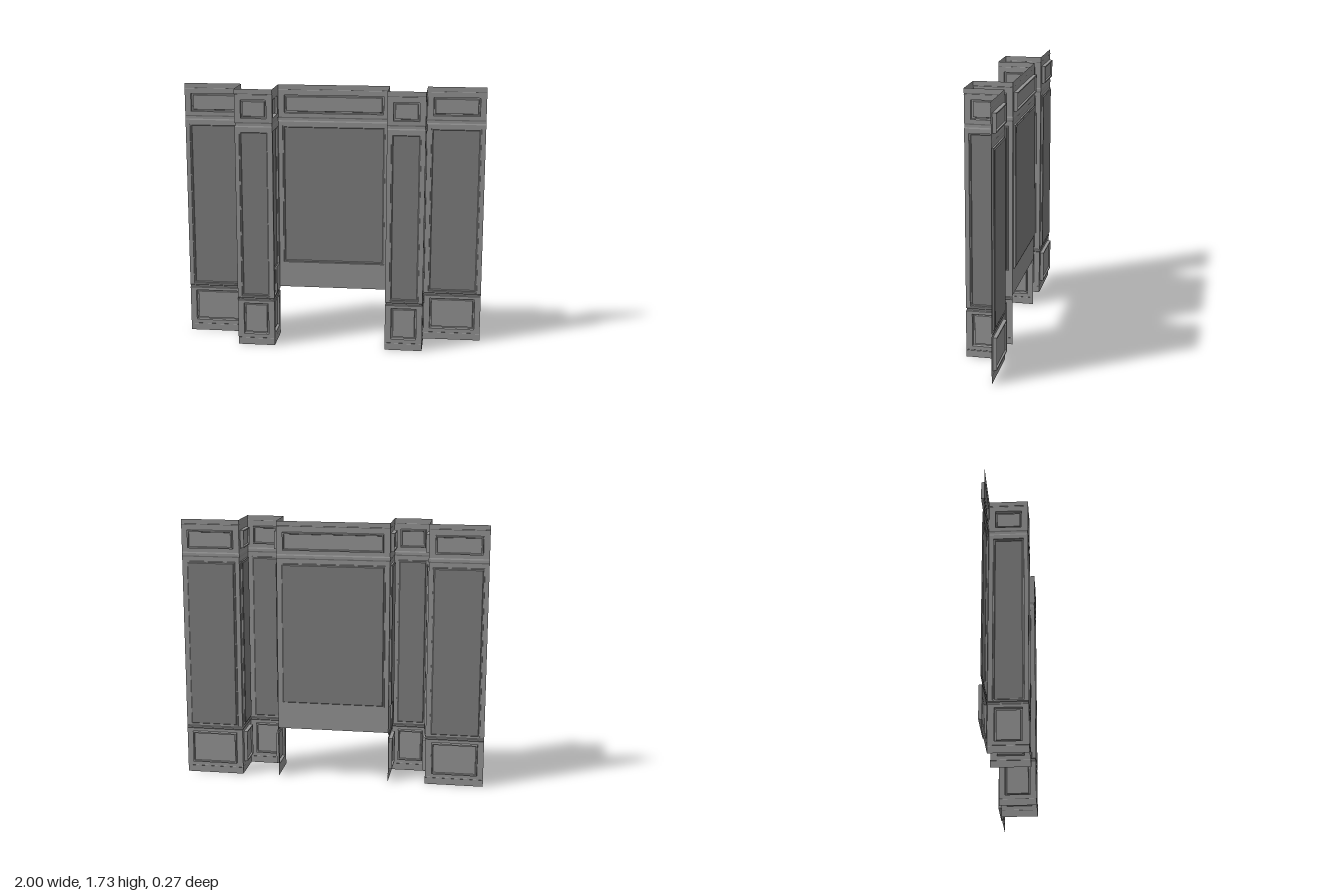
import * as THREE from 'three';

const paint = (color) => new THREE.MeshStandardMaterial({
  color, flatShading: true, side: THREE.DoubleSide,
});
const frameMaterial = paint(0x999999);
const fieldMaterial = paint(0x828282);

// Plan of the folded wall, from -x to +x, as [x, z]
const BACK = -0.114, FRONT = 0.135, OUT = 0.617, IN = 0.37;
const PLAN = [
  [-1, BACK], [-OUT, BACK], [-OUT, FRONT], [-IN, FRONT], [-IN, BACK],
  [IN, BACK], [IN, FRONT], [OUT, FRONT], [OUT, BACK], [1, BACK],
];
const CENTRE = 4;          // index of the middle wall
const CENTRE_BOTTOM = 0.34;

// Small grooves that run along the wall: [bottom, top, depth]
const GROOVES = [[0.044, 0.05, 0.001], [0.31, 0.33, 0.005], [1.483, 1.515, 0.003], [1.694, 1.7, 0.001]];
const TOP = 1.73;

// Moulding steps: [inset, depth]
const TALL_STEPS = [[0, 0], [0.001, 0.009], [0.008, 0.009], [0.012, 0.014]];
const SMALL_STEPS = [[0, 0], [0.002, 0.023], [0.01, 0.023], [0.013, 0.012]];

// Shift a right-angled polyline to its left side
function offset(points, d, closed) {
  const n = points.length;
  const normal = (a, b) => {
    const dx = b[0] - a[0], dy = b[1] - a[1], l = Math.hypot(dx, dy);
    return [-dy / l, dx / l];
  };
  return points.map((p, i) => {
    const q = [...p];
    const edges = [];
    if (closed || i > 0) edges.push(normal(points[(i + n - 1) % n], p));
    if (closed || i < n - 1) edges.push(normal(p, points[(i + 1) % n]));
    for (const e of edges) { q[0] += e[0] * d; q[1] += e[1] * d; }
    return q;
  });
}

// Skin between successive rows of [x, y, z] points
function loft(rows, closed) {
  const n = rows[0].length, index = [];
  for (let k = 0; k < rows.length - 1; k++) {
    for (let i = 0; i < (closed ? n : n - 1); i++) {
      const a = k * n + i, b = k * n + (i + 1) % n;
      index.push(a, b, b + n, a, b + n, a + n);
    }
  }
  const g = new THREE.BufferGeometry();
  g.setAttribute('position', new THREE.Float32BufferAttribute(rows.flat(2), 3));
  g.setIndex(index);
  g.computeVertexNormals();
  return g;
}

function add(parent, geometry, name, material = frameMaterial) {
  const mesh = new THREE.Mesh(geometry, material);
  mesh.name = name;
  parent.add(mesh);
}

const vectors = (pts) => pts.map(([x, y]) => new THREE.Vector2(x, y));
const rect = (x0, y0, x1, y1) => [[x0, y0], [x1, y0], [x1, y1], [x0, y1]];

// Stepped moulding and sunken field inside an outline
function addPanel(parent, { name, outline, steps, material }) {
  const rows = steps.map(([inset, depth]) =>
    offset(outline, inset, true).map(([x, y]) => [x, y, -depth]));
  add(parent, loft(rows, true), name + 'Moulding');
  const [inset, depth] = steps[steps.length - 1];
  const field = new THREE.ShapeGeometry(new THREE.Shape(vectors(offset(outline, inset, true))));
  add(parent, field.translate(0, 0, -depth), name + 'Field', material);
}

// One straight wall, built flat with x along it and z outwards
function buildWall(index) {
  const [a, b] = [PLAN[index], PLAN[index + 1]];
  const length = Math.hypot(b[0] - a[0], b[1] - a[1]);
  const wall = new THREE.Group();
  const centre = index === CENTRE;

  const panels = [];
  const m = 0.04;
  if (!centre) {
    panels.push({ name: 'lowerPanel', outline: rect(m, 0.075, length - m, 0.29), steps: SMALL_STEPS });
  }
  panels.push({ name: 'upperPanel', outline: rect(m, 1.54, length - m, 1.66), steps: SMALL_STEPS });

  // Tall panel; beside the middle wall its lower back corner is notched
  const l = 0.028, r = length - 0.028, y0 = centre ? 0.515 : 0.34, y1 = 1.455, notch = 0.51, cut = 0.125;
  let tall = rect(l, y0, r, y1);
  if (index === CENTRE - 1) tall = [[l, y0], [cut, y0], [cut, notch], [r, notch], [r, y1], [l, y1]];
  if (index === CENTRE + 1) {
    tall = [[length - cut, y0], [r, y0], [r, y1], [l, y1], [l, notch], [length - cut, notch]];
  }
  panels.push({ name: 'tallPanel', outline: tall, steps: TALL_STEPS, material: fieldMaterial });

  // Flat bands between the grooves, with openings for the panels
  const edges = [0, ...GROOVES.flatMap(([g0, g1]) => [g0, g1]), TOP];
  for (let i = 0; i < edges.length; i += 2) {
    const bottom = centre ? Math.max(edges[i], CENTRE_BOTTOM) : edges[i];
    const top = edges[i + 1];
    if (top <= bottom) continue;
    const shape = new THREE.Shape(vectors(rect(0, bottom, length, top)));
    for (const p of panels) {
      const y = p.outline[0][1];
      if (y > bottom && y < top) shape.holes.push(new THREE.Path(vectors(p.outline)));
    }
    add(wall, new THREE.ShapeGeometry(shape), 'wallBand');
  }
  for (const p of panels) addPanel(wall, p);

  wall.position.set(a[0], 0, a[1]);
  wall.rotation.y = -Math.atan2(b[1] - a[1], b[0] - a[0]);
  return wall;
}

// Groove that follows the plan round its corners
function addGroove(parent, path, [y0, y1, depth]) {
  const s = (y1 - y0) / 4;
  const profile = [[y0, 0], [y0 + s, depth], [y1 - s, depth], [y1, 0]];
  const rows = profile.map(([y, d]) => offset(path, -d, false).map(([x, z]) => [x, y, z]));
  add(parent, loft(rows, false), 'railGroove');
}

export function createModel() {
  const model = new THREE.Group();
  model.name = 'panelledWall';
  const names = ['rightWing', 'rightPierOuterSide', 'rightPierFront', 'rightPierInnerSide', 'centreWall',
    'leftPierInnerSide', 'leftPierFront', 'leftPierOuterSide', 'leftWing'];
  names.forEach((name, i) => {
    const wall = buildWall(i);
    wall.name = name;
    model.add(wall);
  });

  // Low grooves stop at the opening under the middle wall
  for (const groove of GROOVES) {
    const paths = groove[0] < CENTRE_BOTTOM
      ? [PLAN.slice(0, CENTRE + 1), PLAN.slice(CENTRE + 1)] : [PLAN];
    for (const path of paths) addGroove(model, path, groove);
  }
  return model;
}
